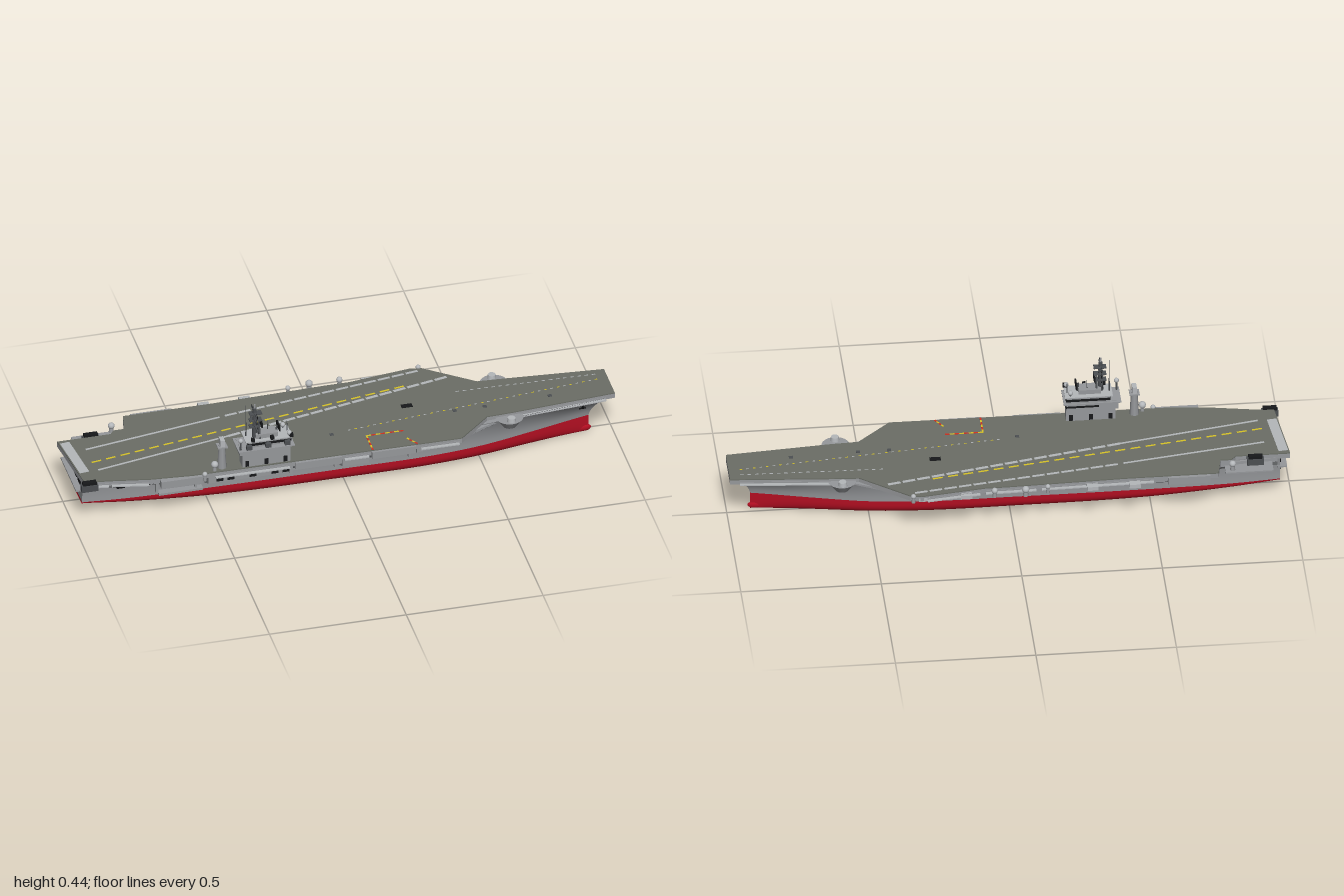
import * as THREE from 'three';

const mat = (name, color, side = THREE.FrontSide) => {
  const m = new THREE.MeshStandardMaterial({ color, side });
  m.name = name;
  return m;
};

export function createModel() {
  const ship = new THREE.Group();
  ship.name = 'aircraftCarrier';
  const grey = mat('hullGrey', 0x96989b, THREE.DoubleSide);
  const red = mat('bottomRed', 0xb40f22, THREE.DoubleSide);
  const deckM = mat('deckGrey', 0x6b6e66);
  const pale = mat('paleGrey', 0xb4b7ba);
  const dark = mat('darkGrey', 0x4c4f52);
  const black = mat('black', 0x17181a);
  const yellow = mat('markingYellow', 0xd8c428);
  const markRed = mat('markingRed', 0xd03020);

  const add = (name, geo, m, x = 0, y = 0, z = 0, parent = ship) => {
    const mesh = new THREE.Mesh(geo, m);
    mesh.name = name;
    mesh.position.set(x, y, z);
    parent.add(mesh);
    return mesh;
  };
  // box given by its limits on each axis
  const box = (name, m, [x0, x1], [y0, y1], [z0, z1], parent = ship) =>
    add(name, new THREE.BoxGeometry(x1 - x0, y1 - y0, z1 - z0), m, (x0 + x1) / 2, (y0 + y1) / 2, (z0 + z1) / 2, parent);
  // flat bar between two points in plan
  const bar = (name, m, [xa, za], [xb, zb], width, y0, y1) => {
    const b = add(name, new THREE.BoxGeometry(Math.hypot(xb - xa, zb - za), y1 - y0, width), m, (xa + xb) / 2, (y0 + y1) / 2, (za + zb) / 2);
    b.rotation.y = -Math.atan2(zb - za, xb - xa);
    return b;
  };
  const pole = (name, m, r, x, y0, y1, z, parent = ship) =>
    add(name, new THREE.CylinderGeometry(r * 0.7, r, y1 - y0, 8), m, x, (y0 + y1) / 2, z, parent);
  // surface through a list of cross-sections, with an optional test for cells left open
  const loft = (rows, open = () => false, flat = false) => {
    const n = rows[0].length, index = [];
    for (let i = 0; i < rows.length - 1; i++) for (let j = 0; j < n - 1; j++) {
      if (open(i, j)) continue;
      const a = i * n + j, b = a + n;
      index.push(a, b, a + 1, b, b + 1, a + 1);
    }
    let g = new THREE.BufferGeometry();
    g.setAttribute('position', new THREE.Float32BufferAttribute(rows.flat(2), 3));
    g.setIndex(index);
    if (flat) g = g.toNonIndexed();
    g.computeVertexNormals();
    return g;
  };

  // Hull lines: half-breadth at waterline and at top, and keel height
  const WL = 0.068, TOP = 0.175, CZ = 0.02;
  const line = (xs, v) => { const c = new THREE.CubicInterpolant(xs, v, 1, [0]); return x => c.evaluate(x)[0]; };
  const xs = [-0.96, -0.8, -0.5, 0, 0.3, 0.5, 0.7, 0.85, 0.915];
  const beam = line(xs, [0.1, 0.113, 0.12, 0.12, 0.118, 0.098, 0.054, 0.017, 0.002]);
  const top = line(xs, [0.115, 0.125, 0.135, 0.135, 0.135, 0.125, 0.098, 0.08, 0.066]);
  const keel = line(xs, [0.056, 0.037, 0.01, 0.001, 0.001, 0.001, 0.001, 0.001, 0.002]);
  const side = (x, r, s) => {
    const f = Math.max(0, (x - 0.5) / 0.415);
    const w = beam(x);
    return [x + 0.065 * f * f * r ** 1.4, WL + (TOP - WL) * r, CZ + s * (w + (top(x) - w) * r ** 1.8)];
  };
  const bay = [-0.674, -0.572];
  const stations = [...bay];
  for (let i = 0; i <= 75; i++) stations.push(-0.96 + i * 0.025);
  stations.sort((a, b) => a - b);
  const levels = [0, 0.15, 0.3, 0.44, 0.6, 0.75, 0.907, 1];
  for (const s of [1, -1]) {
    const inBay = (i, j) => stations[i] >= bay[0] && stations[i + 1] <= bay[1] && j >= 3 && j < 6;
    add('hullSide', loft(stations.map(x => levels.map(r => side(x, r, s))), inBay), grey);
    add('hullBottom', loft(stations.map(x => Array.from({ length: 15 }, (_, j) => {
      const a = j / 14 * Math.PI / 2, k = keel(x);
      return [x, k + (WL - k) * (1 - Math.cos(a) ** 0.65), CZ + s * beam(x) * Math.sin(a) ** 0.65];
    }))), red);
  }
  // Transom, bow plate and bulb
  add('transom', loft(levels.map(r => [side(-0.96, r, 1), side(-0.96, r, -1)])), grey);
  box('transomBottom', red, [-0.96, -0.955], [0.058, WL], [CZ - 0.092, CZ + 0.092]);
  add('bowFace', loft(levels.map(r => [side(0.915, r, 1), side(0.915, r, -1)])), grey);
  add('bowBulb', new THREE.SphereGeometry(1, 16, 12), red, 0.895, 0.016, CZ).scale.set(0.03, 0.014, 0.008);

  // Open hangar bay running through the ship
  box('bayFloor', grey, bay, [0.111, 0.115], [-0.115, 0.155]);
  box('bayCeiling', grey, bay, [0.165, 0.169], [-0.115, 0.155]);
  for (const x of bay) box('bayWall', grey, [x - 0.002, x + 0.002], [0.113, 0.167], [-0.107, 0.147]);
  box('bayLedge', grey, [-0.69, -0.53], [0.08, 0.088], [0.13, 0.165]);

  // Flight deck
  const outline = [[-0.995, -0.1], [-0.8, -0.1], [-0.785, -0.12], [-0.745, -0.12], [-0.73, -0.2], [-0.4, -0.2], [0.02, -0.212],
    [0.1, -0.212], [0.33, -0.243], [0.37, -0.235], [0.54, -0.105], [0.62, -0.1], [0.995, -0.07], [0.995, 0.085],
    [0.62, 0.115], [0.52, 0.12], [0.4, 0.23], [-0.58, 0.225], [-0.73, 0.212], [-0.88, 0.185], [-0.965, 0.175]];
  const plan = new THREE.Shape(outline.map(([x, z]) => new THREE.Vector2(x, -z)));
  const slab = (name, m, y0, y1) => add(name,
    new THREE.ExtrudeGeometry(plan, { depth: y1 - y0, bevelEnabled: false }).rotateX(-Math.PI / 2), m, 0, y0, 0);
  slab('deckEdge', grey, 0.168, 0.186);
  slab('flightDeck', deckM, 0.186, 0.19);

  // Side sponsons: rows of x, inner z, bottom y, outer z, knuckle y
  const sponson = (name, rows) => {
    const g = loft(rows.map(([x, zi, yb, zo, ym]) =>
      [[x, yb, zi], [x, ym, zo], [x, 0.172, zo], [x, 0.172, zi], [x, yb, zi]]), undefined, true);
    add(name, g, grey);
    for (const [x, zi, yb, zo, ym] of [rows[0], rows.at(-1)])
      add(name + 'End', loft([[[x, yb, zi], [x, ym, zo]], [[x, 0.172, zi], [x, 0.172, zo]]]), grey);
  };
  sponson('portSponson', [[-0.56, -0.095, 0.09, -0.165, 0.14], [0.1, -0.095, 0.09, -0.165, 0.14],
    [0.32, -0.095, 0.095, -0.19, 0.155], [0.42, -0.085, 0.11, -0.17, 0.16], [0.6, -0.06, 0.15, -0.095, 0.168]]);
  sponson('starboardAftSponson', [[-0.52, 0.135, 0.09, 0.205, 0.13], [-0.22, 0.135, 0.09, 0.205, 0.13]]);
  sponson('starboardMidSponson', [[-0.03, 0.135, 0.09, 0.2, 0.12], [0.06, 0.135, 0.09, 0.2, 0.12]]);
  sponson('starboardForwardSponson', [[0.24, 0.135, 0.09, 0.21, 0.14], [0.34, 0.13, 0.1, 0.21, 0.15],
    [0.44, 0.12, 0.125, 0.18, 0.16], [0.6, 0.1, 0.155, 0.115, 0.168]]);
  sponson('starboardSternSponson', [[-0.94, 0.12, 0.14, 0.15, 0.16], [-0.86, 0.13, 0.12, 0.17, 0.15], [-0.69, 0.135, 0.11, 0.185, 0.145]]);
  sponson('portSternSponson', [[-0.95, -0.08, 0.12, -0.1, 0.155], [-0.69, -0.09, 0.12, -0.12, 0.155]]);

  // Deck-edge lifts on starboard and port, with hangar doors behind
  for (const [a, b, s] of [[-0.21, -0.04, 1], [0.07, 0.23, 1], [-0.7, -0.55, 1], [-0.7, -0.55, -1]]) {
    const e = s > 0 ? 0.236 : -0.21;
    box('lift', grey, [a, b], [0.158, 0.186], [e - 0.05, e + 0.05].map(z => s > 0 ? Math.min(z, 0.238) : Math.max(z, -0.212)));
    if (a > -0.5) {
      box('hangarFrame', grey, [a, b], [0.1, 0.166], [0.125, 0.153]);
      box('hangarDoor', dark, [a + 0.012, b - 0.012], [0.11, 0.156], [0.15, 0.155]);
    }
    for (const x of [a + 0.004, b - 0.004]) box('liftGuide', grey, [x - 0.004, x + 0.004], [0.09, 0.16], s > 0 ? [0.145, 0.16] : [-0.12, -0.105]);
  }
  // Dark openings along the sides
  for (const x of [-0.49, -0.45, -0.37, -0.29, -0.25]) box('sideOpening', black, [x, x + 0.025], [0.135, 0.148], [0.2, 0.207]);
  for (const x of [-0.85, -0.79, -0.74]) box('sternOpening', black, [x, x + 0.03], [0.15, 0.162], [0.172, 0.187]);
  for (const [x, w] of [[-0.5, 0.06], [-0.4, 0.03], [-0.32, 0.02], [-0.18, 0.09], [-0.02, 0.03], [0.06, 0.03]])
    box('portOpening', black, [x, x + w], [0.143, 0.16], [-0.167, -0.16]);
  for (const z of [-0.06, -0.01, 0.04, 0.09]) {
    box('transomOpening', black, [-0.965, -0.96], [0.135, 0.16], [z - 0.015, z + 0.015]);
    box('transomPort', dark, [-0.965, -0.96], [0.1, 0.115], [z - 0.008, z + 0.008]);
  }
  box('transomGallery', grey, [-0.985, -0.95], [0.122, 0.128], [-0.09, 0.13]);

  // Bow: rounded gun sponsons and anchors
  for (const [z, s] of [[-0.1, -1], [0.125, 1]]) {
    add('roundSponson', new THREE.CylinderGeometry(0.05, 0.025, 0.035, 24), grey, 0.6, 0.161, z);
    add('roundSponsonMount', new THREE.CylinderGeometry(0.014, 0.016, 0.016, 12), pale, 0.6, 0.186, z + s * 0.03);
    const p = side(0.86, 0.6, s);
    const anchor = new THREE.Group();
    anchor.name = 'anchor';
    box('anchorShank', black, [-0.003, 0.003], [-0.012, 0.012], [-0.004, 0.004], anchor);
    box('anchorFluke', black, [-0.012, 0.012], [-0.012, -0.006], [-0.004, 0.004], anchor);
    anchor.position.set(...p);
    anchor.rotation.x = s * 0.6;
    ship.add(anchor);
  }

  // Catwalks along the deck edge
  for (const [a, b] of [[[-0.5, -0.205], [-0.1, -0.213]], [[-0.08, -0.215], [0.1, -0.219]], [[0.12, -0.222], [0.31, -0.246]],
    [[0.64, -0.104], [0.96, -0.078]], [[0.64, 0.119], [0.96, 0.093]], [[0.25, 0.235], [0.39, 0.236]],
    [[-0.5, 0.232], [-0.23, 0.234]], [[-0.03, 0.234], [0.06, 0.235]], [[-0.95, 0.182], [-0.88, 0.192]], [[-0.87, 0.192], [-0.74, 0.218]]]) {
    bar('catwalk', pale, a, b, 0.012, 0.168, 0.172);
    bar('catwalkRail', grey, a, b, 0.002, 0.178, 0.181);
  }
  for (const x of [-0.45, -0.3, 0.15, 0.3]) box('lifeRaftRack', pale, [x, x + 0.04], [0.165, 0.18], [-0.232 - (x > 0 ? 0.01 : 0), -0.205]);

  // Radomes and weapon mounts on the edges
  for (const [x, z, r] of [[-0.04, -0.238, 0.013], [0.07, -0.235, 0.011], [-0.12, -0.228, 0.009], [0.36, -0.243, 0.009], [-0.785, -0.15, 0.012], [-0.54, 0.232, 0.009]]) {
    pole('radomeStand', grey, r * 0.8, x, 0.165, 0.187, z);
    add('radome', new THREE.SphereGeometry(r, 16, 12), pale, x, 0.191, z);
  }
  box('sternPlatform', grey, [-0.93, -0.76], [0.155, 0.16], [-0.16, -0.09]);
  for (const [x, z] of [[-0.87, -0.112], [-0.95, 0.185]]) {
    box('weaponMount', dark, [x - 0.03, x + 0.03], [0.16, 0.185], [z - 0.012, z + 0.012]);
    box('weaponLauncher', black, [x - 0.025, x + 0.025], [0.185, 0.196], [z - 0.009, z + 0.009]);
  }

  // Deck markings
  const mark = (m, a, b, w) => bar('deckMarking', m, a, b, w, 0.19, 0.1912);
  const dashes = (mats, a, b, w, n, fill) => {
    for (let i = 0; i < n; i++) {
      const at = t => [a[0] + (b[0] - a[0]) * t, a[1] + (b[1] - a[1]) * t];
      mark(mats[i % mats.length], at(i / n), at((i + fill) / n), w);
    }
  };
  dashes([yellow], [-0.91, 0.06], [0.3, -0.142], 0.007, 22, 0.65);
  mark(pale, [-0.91, -0.025], [-0.4, -0.108], 0.008);
  dashes([pale], [-0.38, -0.112], [0.36, -0.222], 0.01, 14, 0.85);
  mark(pale, [-0.9, 0.112], [-0.4, 0.016], 0.008);
  dashes([pale], [-0.4, 0.016], [0.45, -0.16], 0.012, 16, 0.85);
  bar('sternRamp', pale, [-0.972, -0.085], [-0.95, 0.115], 0.035, 0.19, 0.1912);
  dashes([pale, yellow], [0.02, 0.085], [0.97, -0.015], 0.003, 40, 0.4);
  dashes([pale], [0.45, -0.06], [0.97, -0.045], 0.003, 20, 0.5);
  dashes([yellow, markRed], [0.075, 0.135], [0.21, 0.135], 0.006, 8, 1);
  dashes([yellow, markRed], [0.075, 0.135], [0.075, 0.228], 0.006, 6, 1);
  dashes([yellow, markRed], [0.21, 0.185], [0.238, 0.228], 0.006, 4, 1);
  mark(black, [0.24, -0.015], [0.28, -0.015], 0.022);
  for (const [x, z] of [[-0.05, 0.09], [0.41, 0.05], [0.52, 0.05], [0.76, 0.04]]) box('deckHatch', dark, [x, x + 0.014], [0.19, 0.1915], [z, z + 0.014]);

  // Island tower
  const island = new THREE.Group();
  island.name = 'island';
  ship.add(island);
  const ib = (n, m, x, y, z) => box(n, m, x, y, z, island);
  ib('islandBase', grey, [-0.4, -0.225], [0.188, 0.245], [0.175, 0.222]);
  ib('islandUpper', grey, [-0.41, -0.225], [0.24, 0.275], [0.163, 0.222]);
  ib('bridgeDeck', grey, [-0.42, -0.215], [0.27, 0.274], [0.155, 0.25]);
  ib('bridge', grey, [-0.38, -0.225], [0.274, 0.298], [0.16, 0.23]);
  ib('bridgeWindows', black, [-0.382, -0.223], [0.282, 0.291], [0.158, 0.232]);
  ib('flagWindows', black, [-0.34, -0.223], [0.253, 0.26], [0.161, 0.224]);
  ib('bridgeRoof', pale, [-0.39, -0.22], [0.298, 0.301], [0.157, 0.235]);
  ib('wheelhouse', grey, [-0.35, -0.27], [0.301, 0.318], [0.175, 0.22]);
  for (const x of [-0.39, -0.32, -0.25]) {
    ib('islandDoor', black, [x, x + 0.014], [0.192, 0.215], [0.173, 0.224]);
    ib('equipmentBox', dark, [x, x + 0.02], [0.274, 0.29], [0.23, 0.245]);
    ib('searchlight', black, [x + 0.02, x + 0.032], [0.301, 0.314], [0.225, 0.238]);
  }
  for (const [x, z] of [[-0.41, 0.235], [-0.23, 0.225], [-0.24, 0.17]]) {
    pole('sensorPost', dark, 0.004, x, 0.27, 0.31, z, island);
    add('sensorDome', new THREE.SphereGeometry(0.009, 12, 10), pale, x, 0.313, z, island);
  }
  // Masts and yards
  pole('mainMast', dark, 0.01, -0.35, 0.3, 0.42, 0.2, island);
  pole('topMast', grey, 0.004, -0.35, 0.41, 0.437, 0.2, island);
  for (const dz of [-0.02, 0.02]) {
    const leg = pole('mastLeg', dark, 0.004, -0.335, 0.298, 0.36, 0.2 + dz / 2, island);
    leg.rotation.x = -dz * 15;
  }
  for (const [y, h] of [[0.35, 0.058], [0.375, 0.034], [0.403, 0.04]]) {
    ib('yardArm', dark, [-0.353, -0.347], [y - 0.002, y + 0.002], [0.2 - h, 0.2 + h]);
    ib('mastPlatform', dark, [-0.37, -0.325], [y - 0.006, y - 0.002], [0.188, 0.212]);
    for (const k of [-1, -0.6, 0.6, 1]) pole('yardAerial', black, 0.0015, -0.35, y - 0.004, y + 0.008, 0.2 + h * k, island);
  }
  ib('searchRadar', black, [-0.33, -0.325], [0.345, 0.365], [0.18, 0.22]);
  ib('foreRadar', black, [-0.265, -0.26], [0.32, 0.34], [0.175, 0.22]);
  pole('foreRadarPost', dark, 0.004, -0.27, 0.3, 0.335, 0.2, island);
  for (const [x, h] of [[-0.38, 0.43], [-0.3, 0.35], [-0.23, 0.34]]) pole('whipAerial', dark, 0.002, x, 0.3, h, 0.19, island);

  // Separate aft radar tower and deck crane
  pole('aftTower', grey, 0.017, -0.47, 0.188, 0.285, 0.2);
  box('aftTowerPlatform', grey, [-0.488, -0.452], [0.278, 0.282], [0.182, 0.218]);
  box('aftRadar', pale, [-0.478, -0.462], [0.284, 0.31], [0.185, 0.215]);
  add('aftDome', new THREE.SphereGeometry(0.013, 16, 12), pale, -0.5, 0.215, 0.215);
  pole('aftDomeStand', grey, 0.008, -0.5, 0.186, 0.207, 0.215);
  return ship;
}
